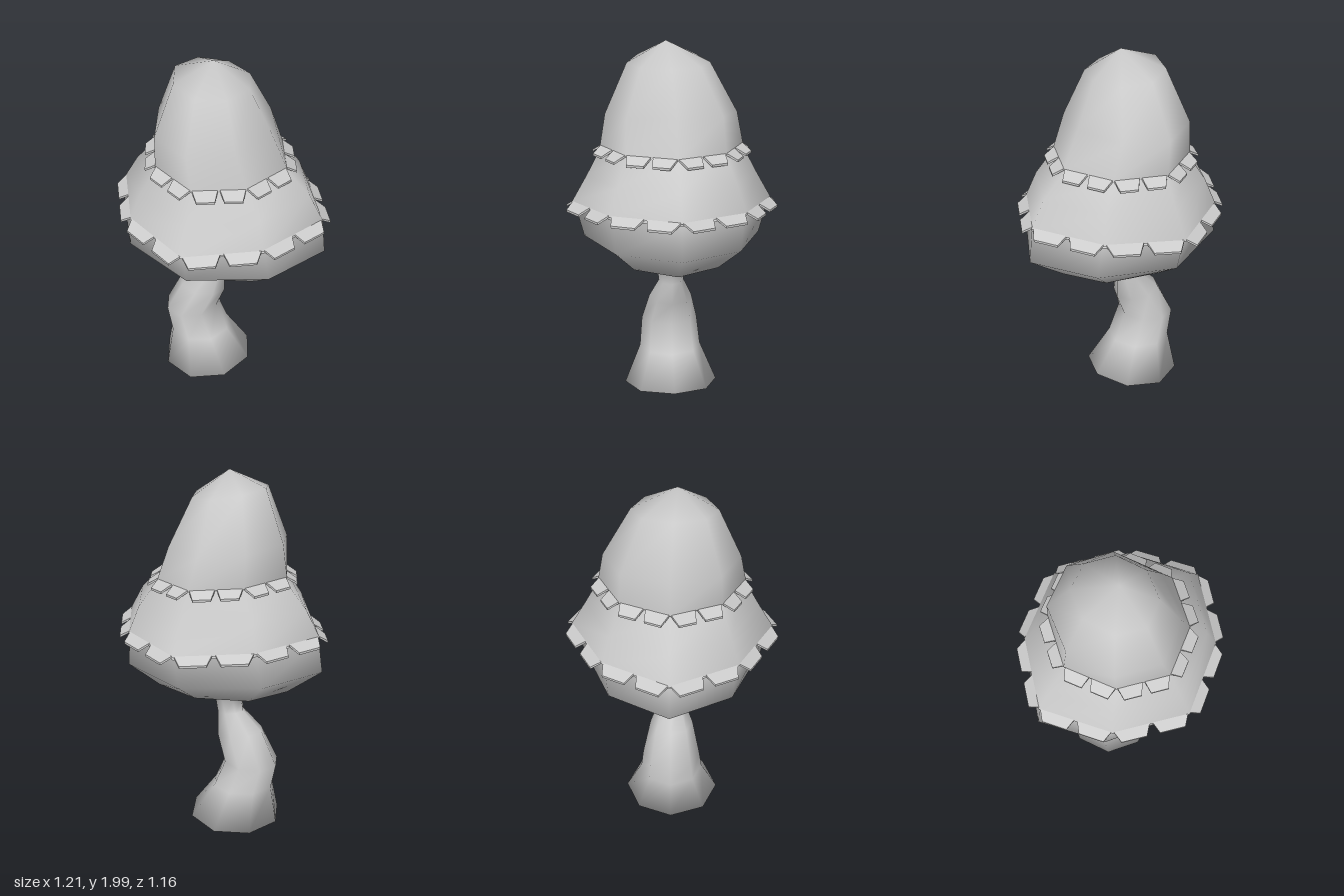
import * as THREE from 'three';
import { mergeVertices } from 'three/addons/utils/BufferGeometryUtils.js';

const SIDES = 8;
const material = new THREE.MeshStandardMaterial({ color: 0xcccccc, side: THREE.DoubleSide });

// Ring: left x, left y, right x, right y, half depth, z offset, y offset at front/back, diagonal squash
function ringPoint([xl, yl, xr, yr, rz, z0 = 0, dy = 0, k = 1], i) {
  const a = (i / SIDES) * Math.PI * 2;
  const s = i % 2 ? k : 1;
  const c = Math.cos(a) * s, d = Math.sin(a) * s;
  return new THREE.Vector3(
    (xl + xr) / 2 + ((xr - xl) / 2) * c,
    (yl + yr) / 2 + ((yr - yl) / 2) * c + dy * d * d,
    z0 + rz * d);
}

// Smooth skin through rings listed from the bottom up
function loft(name, rings) {
  const pos = [], index = [];
  rings.forEach((r, j) => {
    for (let i = 0; i < SIDES; i++) {
      pos.push(...ringPoint(r, i).toArray());
      if (j === rings.length - 1) continue;
      const n = (i + 1) % SIDES, a = j * SIDES;
      index.push(a + i, a + SIDES + i, a + n, a + n, a + SIDES + i, a + SIDES + n);
    }
  });
  let geo = new THREE.BufferGeometry();
  geo.setAttribute('position', new THREE.Float32BufferAttribute(pos, 3));
  geo.setIndex(index);
  geo = mergeVertices(geo, 1e-4);
  geo.computeVertexNormals();
  const mesh = new THREE.Mesh(geo, material);
  mesh.name = name;
  return mesh;
}

// Two tapered slabs hanging from every edge of a ring
function fringe(name, ring, length, drop) {
  const group = new THREE.Group();
  group.name = name;
  for (let t = 0; t < SIDES * 2; t++) {
    const e = Math.floor(t / 2), half = t % 2;
    const p = ringPoint(ring, e), q = ringPoint(ring, (e + 1) % SIDES);
    const mid = p.clone().lerp(q, 0.5);
    const a = half ? mid : p, b = half ? q : mid;
    const out = new THREE.Vector3(b.z - a.z, 0, a.x - b.x).normalize();
    const geo = new THREE.BoxGeometry(1, 1, 1);
    const v = geo.attributes.position;
    for (let i = 0; i < v.count; i++) {
      const tip = v.getZ(i) > 0;
      const u = 0.5 - v.getX(i) * (tip ? 0.66 : 1);
      const w = a.clone().lerp(b, u).addScaledVector(out, tip ? length : -0.02);
      w.y += v.getY(i) * 0.012 - (tip ? drop : -0.012);
      v.setXYZ(i, w.x, w.y, w.z);
    }
    geo.computeVertexNormals();
    const tab = new THREE.Mesh(geo, material);
    tab.name = 'fringeTab';
    group.add(tab);
  }
  return group;
}

export function createModel() {
  const model = new THREE.Group();
  model.name = 'mushroom';

  // Crooked stem, closed at the foot and flaring into the cap
  model.add(loft('stem', [
    [-0.08, 0.025, -0.08, 0.025, 0],
    [-0.345, 0.01, 0.17, 0.04, 0.265, 0, -0.012],
    [-0.31, 0.22, 0.035, 0.22, 0.175],
    [-0.34, 0.36, -0.035, 0.38, 0.16],
    [-0.25, 0.55, 0.02, 0.52, 0.12],
    [-0.135, 0.655, 0.02, 0.64, 0.07],
    [-0.12, 0.73, 0.03, 0.72, 0.08],
    [-0.165, 0.82, 0.09, 0.82, 0.11],
    [-0.25, 0.93, 0.22, 0.93, 0.22],
  ]));

  // Bulging cap base with a hollow underside
  model.add(loft('capBase', [
    [-0.03, 0.95, -0.03, 0.95, 0],
    [-0.27, 0.93, 0.24, 0.93, 0.24],
    [-0.4, 0.82, 0.39, 0.815, 0.325, 0, 0.01, 0.98],
    [-0.6, 0.97, 0.6, 0.965, 0.485, 0, -0.03, 0.95],
    [-0.575, 1.15, 0.58, 1.15, 0.53, 0, -0.04, 0.92],
  ]));

  // Middle skirt with its fringe
  const skirtEdge = [-0.58, 1.16, 0.58, 1.16, 0.55, 0, -0.03, 0.92];
  model.add(loft('capSkirt', [
    skirtEdge,
    [-0.5, 1.3, 0.5, 1.3, 0.465, 0, -0.02, 0.95],
    [-0.37, 1.45, 0.36, 1.435, 0.38, 0, 0, 0.96],
  ]));
  model.add(fringe('skirtFringe', skirtEdge, 0.05, 0.035));

  // Leaning crown with its fringe
  const crownEdge = [-0.385, 1.46, 0.37, 1.435, 0.39, 0, -0.01, 0.96];
  model.add(loft('capCrown', [
    crownEdge,
    [-0.36, 1.64, 0.275, 1.635, 0.36, 0, -0.03],
    [-0.25, 1.92, 0.16, 1.87, 0.225, 0.015, -0.015],
    [-0.03, 2, -0.03, 2, 0, 0.03],
  ]));
  model.add(fringe('crownFringe', crownEdge, 0.055, 0.035));

  return model;
}
